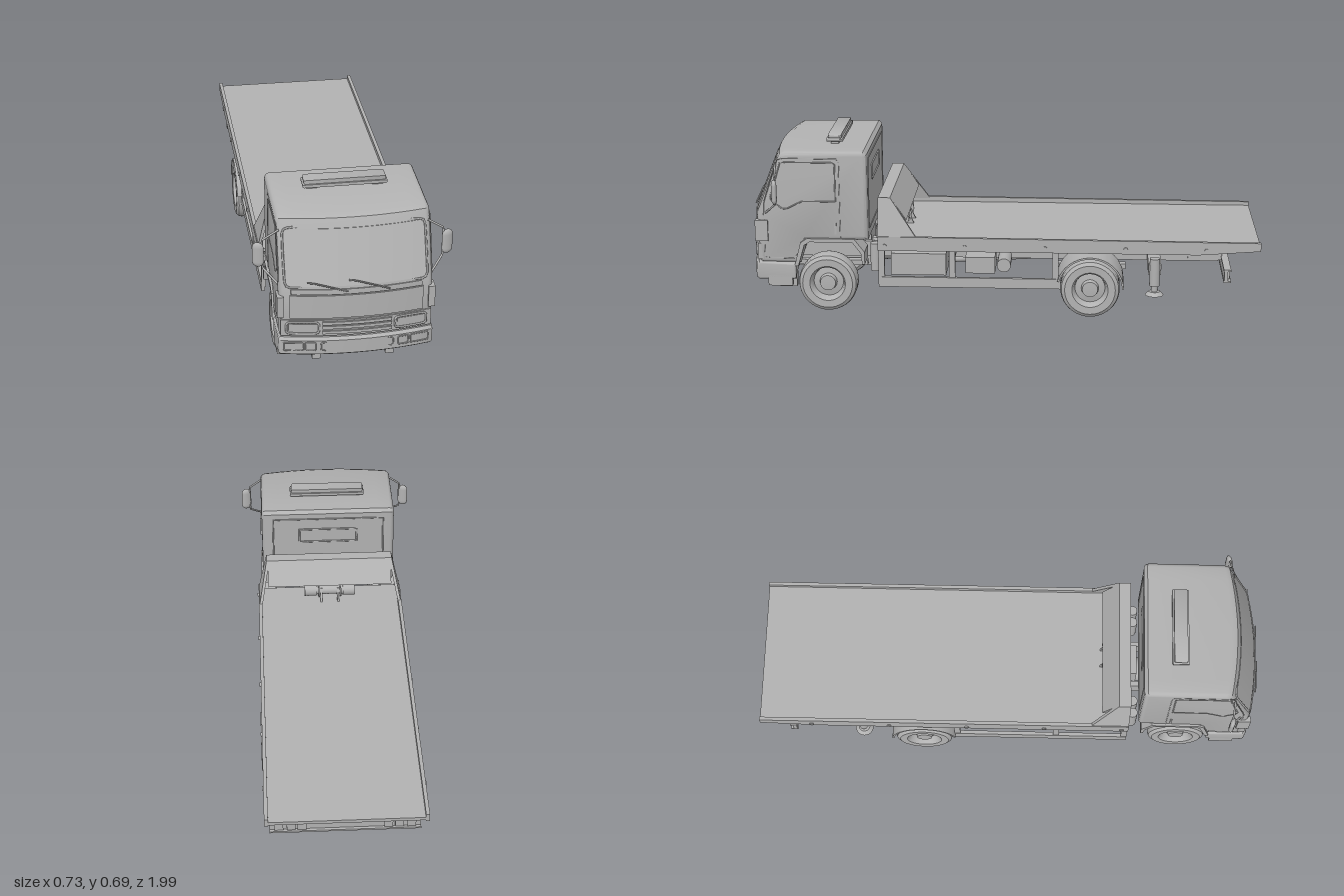
import * as THREE from 'three';
import { toCreasedNormals } from 'three/addons/utils/BufferGeometryUtils.js';

const grey = new THREE.MeshStandardMaterial({ color: 0xb2b2b2 });
grey.name = 'plain grey';

export function createModel() {
  const root = new THREE.Group();
  root.name = 'flatbedTruck';
  const truck = new THREE.Group();
  truck.name = 'truckBody';
  root.add(truck);

  const add = (name, geo, x = 0, y = 0, z = 0) => {
    const m = new THREE.Mesh(geo, grey);
    m.name = name;
    m.position.set(x, y, z);
    truck.add(m);
    return m;
  };
  // box given by its limits on each axis
  const box = (name, x0, x1, y0, y1, z0, z1) =>
    add(name, new THREE.BoxGeometry(x1 - x0, y1 - y0, z1 - z0), (x0 + x1) / 2, (y0 + y1) / 2, (z0 + z1) / 2);
  // the same box on both sides of the truck
  const pair = (name, x0, x1, ...r) => { box(name, x0, x1, ...r); box(name, -x1, -x0, ...r); };
  // cylinder along the x, y or z axis
  const cyl = (name, axis, r, len, x, y, z, r2 = r) => {
    const g = new THREE.CylinderGeometry(r, r2, len, 24);
    if (axis === 'x') g.rotateZ(-Math.PI / 2);
    if (axis === 'z') g.rotateX(Math.PI / 2);
    return add(name, g, x, y, z);
  };
  const tube = (name, pts, r = 0.004) => {
    const path = new THREE.CurvePath();
    const v = pts.map(p => new THREE.Vector3(...p));
    for (let i = 1; i < v.length; i++) path.add(new THREE.LineCurve3(v[i - 1], v[i]));
    return add(name, new THREE.TubeGeometry(path, (v.length - 1) * 8, r, 8));
  };
  // side outline given as [z, y], extruded across x
  const side = (pts, width, bevel = 0, steps = 1) => {
    const s = pts instanceof THREE.Shape ? pts : new THREE.Shape(pts.map(p => new THREE.Vector2(...p)));
    const g = new THREE.ExtrudeGeometry(s, {
      depth: width - 2 * bevel, steps, curveSegments: 20, bevelEnabled: bevel > 0,
      bevelSize: bevel, bevelThickness: bevel, bevelOffset: -bevel, bevelSegments: 4
    });
    g.translate(0, 0, -(width - 2 * bevel) / 2);
    return g.rotateY(-Math.PI / 2);
  };
  // bow the front in plan
  const bow = (x, z) => 0.4 * x * x * THREE.MathUtils.clamp((z - 0.7) / 0.2, 0, 1);
  const bend = g => {
    const p = g.attributes.position;
    for (let i = 0; i < p.count; i++) p.setZ(i, p.getZ(i) - bow(p.getX(i), p.getZ(i)));
    return g;
  };
  const frontZ = y => y < 0.4 ? 0.984 : 0.984 - (y - 0.4) * 0.4;
  // plate that follows the bowed, raked front
  const frontPlate = (name, x0, x1, y0, y1, out, thick = 0.02) => {
    const g = new THREE.BoxGeometry(x1 - x0, y1 - y0, thick, 12, 2, 1);
    g.translate((x0 + x1) / 2, (y0 + y1) / 2, -thick / 2);
    const p = g.attributes.position;
    for (let i = 0; i < p.count; i++) {
      const x = p.getX(i), y = p.getY(i);
      p.setZ(i, p.getZ(i) + frontZ(y) + out - bow(x, 0.95));
    }
    g.computeVertexNormals();
    return add(name, g);
  };
  // raised outline that follows the front
  const frontFrame = (name, x, w, y0, y1, r, thick, out = 0) => {
    const pts = [], cy = (y0 + y1) / 2, h = (y1 - y0) / 2;
    for (const [sx, sy, a0] of [[1, 1, 0], [-1, 1, 1], [-1, -1, 2], [1, -1, 3]])
      for (let k = 0; k <= 4; k++) {
        const a = (a0 + k / 4) * Math.PI / 2;
        const px = x + sx * (w - r) + Math.cos(a) * r, py = cy + sy * (h - r) + Math.sin(a) * r;
        pts.push(new THREE.Vector3(px, py, frontZ(py) + out - bow(px, 0.95)));
      }
    add(name, new THREE.TubeGeometry(new THREE.CatmullRomCurve3(pts, true, 'centripetal'), 96, thick, 6, true));
  };

  // cab shell
  const cab = side([[0.975, 0.2], [0.984, 0.285], [0.984, 0.4], [0.896, 0.62], [0.888, 0.635], [0.865, 0.645],
    [0.54, 0.648], [0.527, 0.635], [0.527, 0.295], [0.775, 0.29], [0.805, 0.2]], 0.552, 0.018, 10);
  add('cab', toCreasedNormals(bend(cab), 0.6));
  frontPlate('windscreen', -0.252, 0.252, 0.412, 0.602, 0.002);
  frontFrame('windscreenSeal', 0, 0.255, 0.408, 0.606, 0.018, 0.004, 0.002);
  frontPlate('frontPanel', -0.24, 0.24, 0.285, 0.378, 0.005);
  frontPlate('cowlPanel', -0.235, 0.235, 0.382, 0.402, 0.004);
  frontPlate('lampBand', -0.272, 0.272, 0.212, 0.277, 0.004);
  for (const y of [0.228, 0.248, 0.265]) frontPlate('grilleBar', -0.125, 0.125, y - 0.006, y + 0.006, 0.01);
  for (const s of [-1, 1]) {
    frontFrame('headlampRim', s * 0.195, 0.058, 0.224, 0.268, 0.012, 0.004, 0.006);
    frontPlate('headlamp', s * 0.195 - 0.05, s * 0.195 + 0.05, 0.23, 0.262, 0.006);
    tube('wiper', [[s * 0.075 - 0.105, 0.432, 0.976], [s * 0.075 - 0.08, 0.43, 0.98], [s * 0.075 + 0.04, 0.394, 0.99]], 0.003);
    box('cornerDeflector', s * 0.272 - 0.012, s * 0.272 + 0.012, 0.29, 0.373, 0.915, 0.965);
  }

  // bumper
  const bumper = side([[0.83, 0.135], [0.985, 0.132], [0.995, 0.14], [0.995, 0.195], [0.985, 0.205], [0.83, 0.2]], 0.56, 0.01, 10);
  add('bumper', toCreasedNormals(bend(bumper), 0.6));
  for (const [x, w] of [[0, 0.13], [0.168, 0.018], [-0.168, 0.018], [0.228, 0.034], [-0.228, 0.034]])
    frontFrame('bumperRecess', x, w, 0.155, 0.187, 0.004, 0.003, 0.01);
  pair('towBracket', 0.12, 0.15, 0.062, 0.14, 0.83, 0.9);
  box('underrunBar', -0.17, 0.17, 0.078, 0.102, 0.86, 0.88);
  pair('cabStep', 0.255, 0.28, 0.108, 0.15, 0.825, 0.92);

  // doors, rear cab edge, fenders and mirrors
  const outline = (name, pts, x, r = 0.003) => tube(name, [...pts, pts[0]].map(([z, y]) => [x, y, z]), r);
  for (const s of [-1, 1]) {
    const x = s * 0.275;
    outline('doorGap', [[0.634, 0.3], [0.634, 0.62], [0.87, 0.62], [0.93, 0.44], [0.93, 0.22], [0.81, 0.22], [0.775, 0.3]], x, 0.002);
    outline('sideWindow', [[0.65, 0.45], [0.65, 0.605], [0.86, 0.605], [0.905, 0.455], [0.85, 0.415], [0.78, 0.45]], x, 0.003);
    box('doorHandle', x - 0.005, x + 0.005, 0.32, 0.365, 0.648, 0.656);
    const arch = side([[0.815, 0.19], [0.79, 0.285], [0.765, 0.302], [0.58, 0.302], [0.54, 0.25], [0.54, 0.2],
      [0.55, 0.2], [0.555, 0.245], [0.588, 0.288], [0.755, 0.288], [0.775, 0.275], [0.8, 0.19]], 0.1);
    add('frontFender', arch, s * 0.234);
    tube('mirrorArm', [[s * 0.265, 0.6, 0.88], [s * 0.325, 0.56, 0.875], [s * 0.325, 0.45, 0.875], [s * 0.265, 0.395, 0.93]]);
    const m = add('mirror', new THREE.CapsuleGeometry(0.021, 0.055, 6, 16), s * 0.34, 0.503, 0.875);
    m.scale.z = 0.5;
    m.rotation.y = s * 0.3;
  }
  outline('rearWindow', [[-0.12, 0.5], [0.12, 0.5], [0.12, 0.56], [-0.12, 0.56]], 0, 0.004).rotation.y = Math.PI / 2;
  truck.children.at(-1).position.z = 0.527;
  outline('rearPanelRib', [[-0.23, 0.33], [0.23, 0.33], [0.23, 0.61], [-0.23, 0.61]], 0, 0.003).rotation.y = Math.PI / 2;
  truck.children.at(-1).position.z = 0.527;

  // roof beacon bar
  for (const [y, w, d, h] of [[0.664, 0.31, 0.064, 0.012], [0.677, 0.3, 0.052, 0.016]]) {
    const g = side([[-d / 2, -h / 2], [d / 2, -h / 2], [d / 2, h / 2], [-d / 2, h / 2]], w, h * 0.45);
    add('beaconBar', toCreasedNormals(g, 0.6), 0, y, 0.665);
  }
  pair('beaconFoot', 0.1, 0.14, 0.642, 0.66, 0.65, 0.68);

  // flat bed
  box('deck', -0.29, 0.29, 0.284, 0.297, -0.986, 0.485);
  for (const s of [-1, 1]) {
    add('sideRail', side([[0.487, 0.262], [0.487, 0.318], [-0.987, 0.312], [-0.987, 0.28], [-0.75, 0.262]], 0.014), s * 0.291);
    for (let i = 0; i < 5; i++) cyl('railPin', 'x', 0.008, 0.012, s * 0.297, 0.281, 0.46 - i * 0.31);
    // leaning headboard cheek
    const g = side([[0.487, 0.31], [0.487, 0.465], [0.44, 0.465], [0.335, 0.31]], 0.012);
    const p = g.attributes.position;
    for (let i = 0; i < p.count; i++) p.setX(i, p.getX(i) - s * (p.getY(i) - 0.31) * 0.22);
    g.computeVertexNormals();
    add('headboardCheek', g, s * 0.29);
  }
  add('headboardPanel', side([[0.487, 0.465], [0.44, 0.465], [0.378, 0.375], [0.388, 0.37], [0.447, 0.455], [0.487, 0.455]], 0.515));
  for (let i = 0; i < 10; i++) box('deckCrossmember', -0.27, 0.27, 0.262, 0.286, 0.43 - i * 0.13, 0.45 - i * 0.13);

  // winch
  cyl('winchDrum', 'x', 0.02, 0.11, 0, 0.335, 0.41);
  for (const s of [-1, 1]) {
    cyl('winchMotor', 'x', 0.026, 0.05, s * 0.08, 0.335, 0.41);
    cyl('winchFlange', 'x', 0.032, 0.006, s * 0.045, 0.335, 0.41);
    add('winchStand', side([[0.37, 0.295], [0.45, 0.295], [0.425, 0.35], [0.395, 0.35]], 0.008), s * 0.035);
  }

  // chassis frame
  pair('chassisRail', 0.075, 0.095, 0.175, 0.238, -0.84, 0.93);
  pair('subframeRail', 0.095, 0.118, 0.236, 0.27, -0.76, 0.485);
  for (const z of [0.45, 0.2, -0.05, -0.18, -0.5, -0.8]) box('chassisCrossmember', -0.08, 0.08, 0.185, 0.23, z - 0.015, z + 0.015);
  box('engine', -0.07, 0.07, 0.13, 0.29, 0.54, 0.87);
  cyl('gearbox', 'z', 0.05, 0.16, 0, 0.18, 0.46, 0.035);
  cyl('driveShaft', 'z', 0.014, 0.72, 0, 0.15, 0.03).rotation.x = 0.06;
  box('bedMast', -0.06, 0.06, 0.2, 0.29, 0.495, 0.52);
  for (const s of [-1, 1]) for (const dx of [0, 0.05]) cyl('airCanister', 'y', 0.02, 0.11, s * (0.17 + dx), 0.215, 0.505);

  // side guards, tanks and lockers
  pair('guardBar', 0.272, 0.286, 0.112, 0.152, -0.22, 0.487);
  for (const z of [0.475, 0.2, -0.2]) pair('guardPost', 0.268, 0.284, 0.13, 0.265, z - 0.012, z + 0.012);
  pair('guardStay', 0.09, 0.28, 0.225, 0.245, 0.19, 0.21);
  box('locker', 0.14, 0.265, 0.155, 0.242, 0.225, 0.44);
  box('batteryBox', -0.265, -0.14, 0.165, 0.242, 0.225, 0.44);
  pair('smallLocker', 0.16, 0.265, 0.165, 0.23, 0.035, 0.15);
  for (const s of [-1, 1]) cyl('airTank', 'x', 0.027, 0.12, s * 0.21, 0.2, 0);

  // wheels, axles and rear mudguards
  const profile = [[0, -0.03], [0.062, -0.03], [0.068, -0.042], [0.098, -0.043], [0.111, -0.034], [0.115, -0.02], [0.115, 0.02],
    [0.111, 0.034], [0.098, 0.043], [0.07, 0.042], [0.064, 0.036], [0.058, 0.01], [0.034, 0.014], [0.03, 0.034], [0, 0.036]];
  const wheelGeo = toCreasedNormals(new THREE.LatheGeometry(profile.map(p => new THREE.Vector2(...p)), 40), 0.6);
  for (const s of [-1, 1])
    for (const [name, x, z] of [['frontWheel', 0.227, 0.69], ['rearInnerWheel', 0.178, -0.335], ['rearOuterWheel', 0.26, -0.335]]) {
      add(name, wheelGeo, s * x, 0.115, z).rotation.z = -s * Math.PI / 2;
    }
  cyl('frontAxle', 'x', 0.018, 0.4, 0, 0.115, 0.69);
  cyl('rearAxle', 'x', 0.025, 0.36, 0, 0.115, -0.335);
  add('differential', new THREE.SphereGeometry(0.055, 20, 14), 0, 0.118, -0.335);
  for (const z of [0.69, -0.335]) pair('leafSpring', 0.09, 0.12, 0.145, 0.165, z - 0.14, z + 0.14);
  const guard = new THREE.Shape();
  guard.absarc(-0.335, 0.115, 0.131, 0.25, Math.PI - 0.05, false);
  guard.absarc(-0.335, 0.115, 0.124, Math.PI - 0.05, 0.25, true);
  const guardGeo = toCreasedNormals(side(guard, 0.165), 0.6);
  for (const s of [-1, 1]) add('rearMudguard', guardGeo, s * 0.22);

  // stabiliser legs and rear lamp bar
  box('stabiliserBeam', -0.25, 0.25, 0.165, 0.205, -0.61, -0.56);
  for (const s of [-1, 1]) {
    cyl('stabiliserCylinder', 'y', 0.02, 0.11, s * 0.245, 0.175, -0.585);
    cyl('stabiliserRod', 'y', 0.012, 0.05, s * 0.245, 0.11, -0.585);
    cyl('stabiliserFoot', 'y', 0.022, 0.014, s * 0.245, 0.09, -0.585, 0.036);
    for (const x of [0.16, 0.2, 0.245]) box('rearLamp', s * x - 0.016, s * x + 0.016, 0.156, 0.188, -0.874, -0.865);
  }
  box('rearLampBar', -0.28, 0.28, 0.148, 0.196, -0.866, -0.852);
  box('rearLampLip', -0.28, 0.28, 0.19, 0.198, -0.878, -0.85);
  box('rearLampSill', -0.28, 0.28, 0.146, 0.153, -0.878, -0.85);
  pair('lampBarArm', 0.072, 0.098, 0.18, 0.242, -0.855, -0.72);

  // whole truck stands slightly turned
  truck.rotation.y = -0.038;
  truck.position.x = 0.018;
  return root;
}
